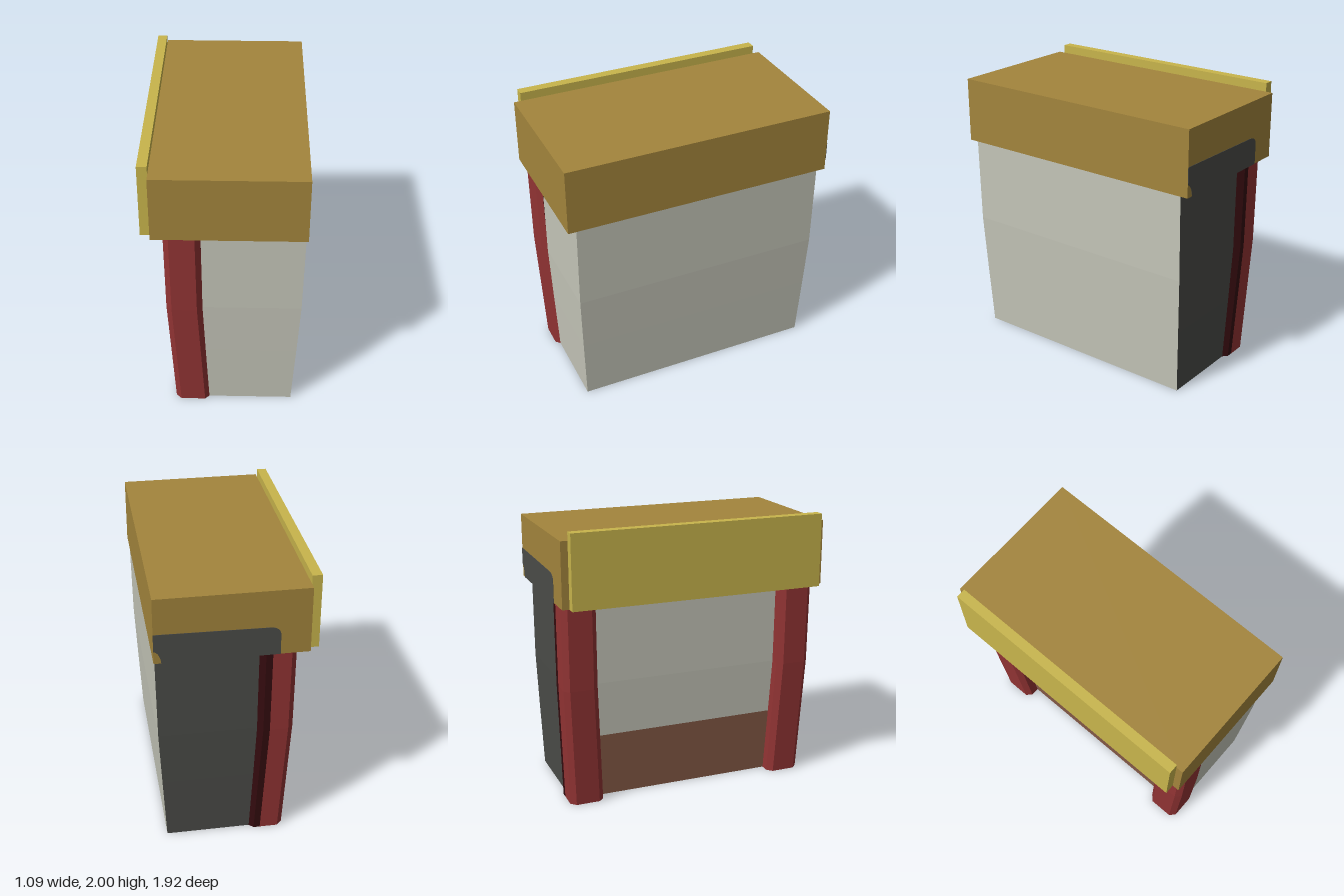
import * as THREE from 'three';

const mat = (name, color, side = THREE.FrontSide) => {
  const m = new THREE.MeshStandardMaterial({ color, side });
  m.name = name;
  return m;
};

// Open tube through matching rings of [x, y, z]; pick(side, band) gives the material index
function loft(rings, materials, pick) {
  const buckets = materials.map(() => []);
  for (let b = 0; b < rings.length - 1; b++) {
    const lo = rings[b], hi = rings[b + 1], n = lo.length;
    for (let s = 0; s < n; s++) {
      const t = (s + 1) % n;
      buckets[pick(s, b)].push(...lo[s], ...lo[t], ...hi[t], ...lo[s], ...hi[t], ...hi[s]);
    }
  }
  const geo = new THREE.BufferGeometry();
  geo.setAttribute('position', new THREE.Float32BufferAttribute(buckets.flat(), 3));
  let start = 0;
  buckets.forEach((list, i) => {
    geo.addGroup(start, list.length / 3, i);
    start += list.length / 3;
  });
  geo.computeVertexNormals();
  return new THREE.Mesh(geo, materials);
}

export function createModel() {
  const model = new THREE.Group();
  const ochre = mat('ochre', 0xa3853c);
  const yellow = mat('mustard', 0xc8b54c);
  const pale = mat('paleGrey', 0xc5c6b9, THREE.DoubleSide);
  const dark = mat('darkGrey', 0x4b4c48, THREE.DoubleSide);
  const brown = mat('brown', 0x855a46, THREE.DoubleSide);
  const red = mat('red', 0x933434, THREE.DoubleSide);
  const deepRed = mat('deepRed', 0x330b0e, THREE.DoubleSide);

  const add = (mesh, name) => {
    mesh.name = name;
    model.add(mesh);
    return mesh;
  };
  const box = (name, m, x0, x1, y0, y1, z) => {
    const mesh = new THREE.Mesh(new THREE.BoxGeometry(x1 - x0, y1 - y0, 2 * z), m);
    mesh.position.set((x0 + x1) / 2, (y0 + y1) / 2, 0);
    return add(mesh, name);
  };

  // Top block and the upright board along its side
  box('topBlock', ochre, -0.478, 0.54, 1.48, 1.94, 0.96);
  box('sideBoard', yellow, -0.545, -0.478, 1.48, 2, 0.91);

  // Hollow tapering body: [y, left x, right x, half depth]
  const bodyRings = [
    [0, -0.25, 0.475, 0.87],
    [0.47, -0.274, 0.5, 0.887],
    [0.87, -0.292, 0.52, 0.9],
    [1.48, -0.3, 0.53, 0.9],
  ].map(([y, l, r, z]) => [[l, y, z], [r, y, z], [r, y, -z], [l, y, -z]]);
  add(loft(bodyRings, [pale, dark, brown], (s, b) => {
    if (s === 2) return 1;
    return s === 3 && b === 0 ? 2 : 0;
  }), 'body');

  // Chamfered hollow posts at the front and back
  const h = 0.1225, c = 0.037;
  const plan = [
    [-h + c, h], [h - c, h], [h, h - c], [h, -h + c], [h - c, -h],
    [h - c - 0.045, -h], [-h + c, -h], [-h, -h + c], [-h, h - c],
  ];
  for (const side of [1, -1]) {
    const rings = [
      [0, -0.228, 0.9],
      [0.87, -0.272, 0.936],
      [1.48, -0.278, 0.94],
    ].map(([y, cx, outer]) => plan.map(([x, z]) => [cx + x, y, side * (outer - h) + z]));
    add(loft(rings, [red, deepRed], (s) =>
      s === 2 || s === 3 || (s === 4 && side < 0) ? 1 : 0), side > 0 ? 'frontPost' : 'backPost');
  }

  // Dark painted patch on the back of the top block
  const patch = new THREE.Shape();
  patch.moveTo(0.49, 1.48);
  patch.lineTo(-0.28, 1.48);
  patch.lineTo(-0.28, 1.62);
  patch.quadraticCurveTo(-0.28, 1.67, -0.22, 1.68);
  patch.lineTo(0.48, 1.69);
  patch.lineTo(0.54, 1.69);
  patch.lineTo(0.54, 1.57);
  patch.quadraticCurveTo(0.5, 1.56, 0.49, 1.48);
  const plate = new THREE.ExtrudeGeometry(patch, { depth: 0.003, bevelEnabled: false });
  add(new THREE.Mesh(plate, dark), 'backPatch').position.z = -0.963;

  return model;
}
